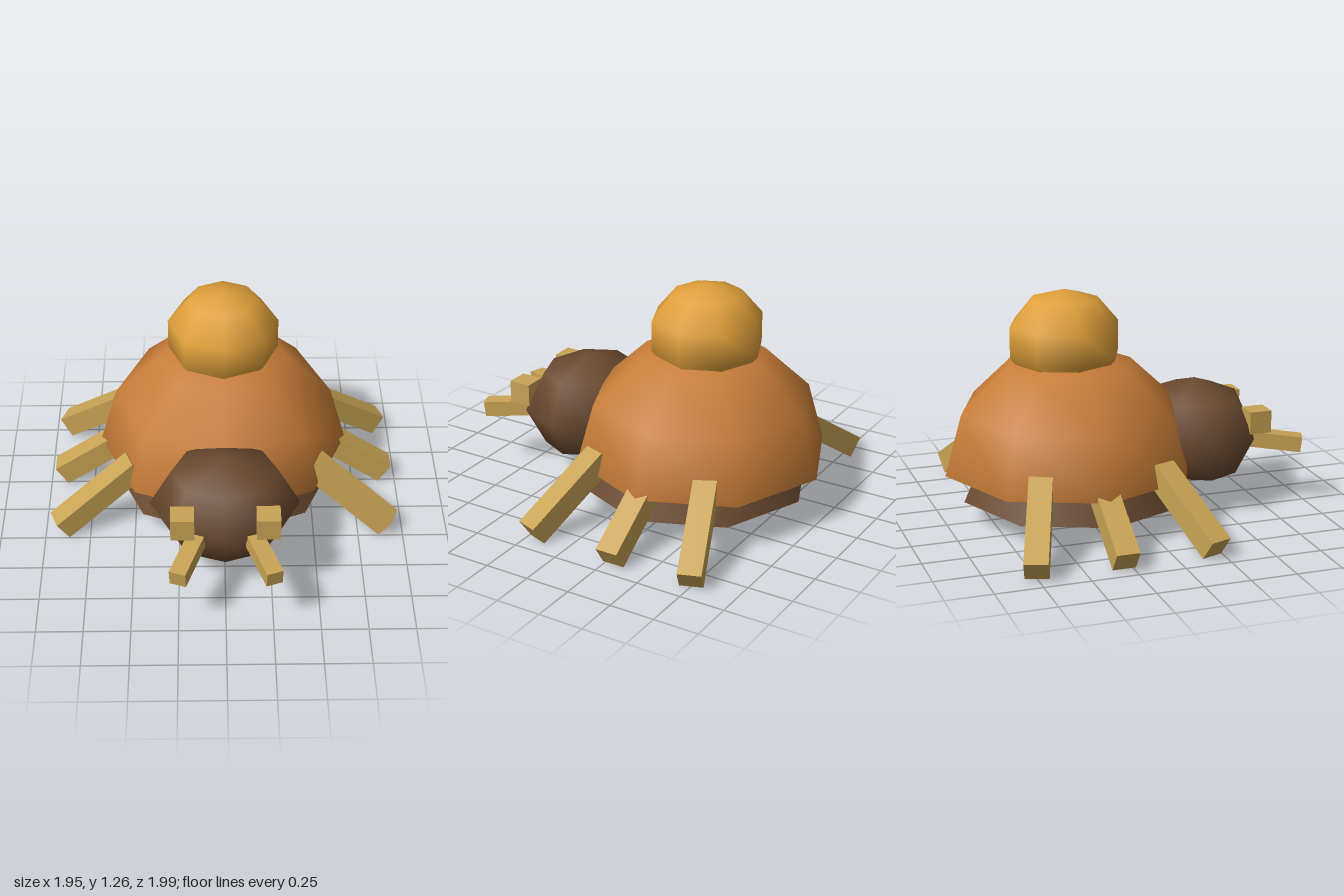
import * as THREE from 'three';

const material = (name, color) => {
  const m = new THREE.MeshStandardMaterial({ color });
  m.name = name;
  return m;
};

export function createModel() {
  const model = new THREE.Group();
  model.name = 'beetle';
  const orange = material('shell orange', 0xc87d38);
  const gold = material('knob gold', 0xe0a03a);
  const brown = material('body brown', 0x6b4a30);
  const tan = material('limb tan', 0xc8a354);

  const add = (name, geometry, mat, x, y, z) => {
    const mesh = new THREE.Mesh(geometry, mat);
    mesh.name = name;
    mesh.position.set(x, y, z);
    model.add(mesh);
    return mesh;
  };

  // Domed shell, closed underneath
  const dome = new THREE.SphereGeometry(0.7, 8, 3, 0, Math.PI * 2, 0, Math.PI / 2);
  add('shell', dome.scale(1, 0.66 / 0.7, 1), orange, 0, 0.28, -0.3);
  const rim = new THREE.CircleGeometry(0.7, 8).rotateX(Math.PI / 2);
  add('shellUnderside', rim, orange, 0, 0.28, -0.3);

  // Belly below the shell
  add('belly', new THREE.CylinderGeometry(0.56, 0.64, 0.18, 8), brown, 0, 0.21, -0.26);

  // Head and the round knob on the back
  const head = new THREE.SphereGeometry(1, 8, 4).scale(0.405, 0.302, 0.345);
  add('head', head, brown, 0, 0.4, 0.43);
  const knob = new THREE.SphereGeometry(0.32, 8, 5).scale(1, 0.275 / 0.32, 1);
  add('backKnob', knob, gold, 0, 0.985, -0.325);

  // Legs: the geometry's origin is the centre of the foot face
  const legGeometry = new THREE.BoxGeometry(0.545, 0.125, 0.125).translate(-0.2725, 0, 0);
  const legs = [
    ['front', 0.92, 0.2, -20],
    ['middle', 0.937, -0.297, 0],
    ['back', 0.92, -0.763, 20],
  ];
  const eyeGeometry = new THREE.BoxGeometry(0.125, 0.125, 0.125);
  const jawGeometry = new THREE.BoxGeometry(0.09, 0.087, 0.293);

  for (const side of [1, -1]) {
    const label = side > 0 ? 'Left' : 'Right';
    for (const [name, x, z, degrees] of legs) {
      const leg = add(`${name}Leg${label}`, legGeometry, tan, side * x, 0.052, z);
      const yaw = THREE.MathUtils.degToRad(degrees);
      leg.rotation.set(0, side > 0 ? yaw : Math.PI - yaw, -THREE.MathUtils.degToRad(34), 'YXZ');
    }
    // Block eyes and splayed jaws
    add(`eye${label}`, eyeGeometry, tan, side * 0.225, 0.4925, 0.7125);
    const jaw = add(`jaw${label}`, jawGeometry, tan, side * 0.201, 0.355, 0.838);
    jaw.rotation.set(0.11, side * 0.35, 0, 'YXZ');
  }
  return model;
}
